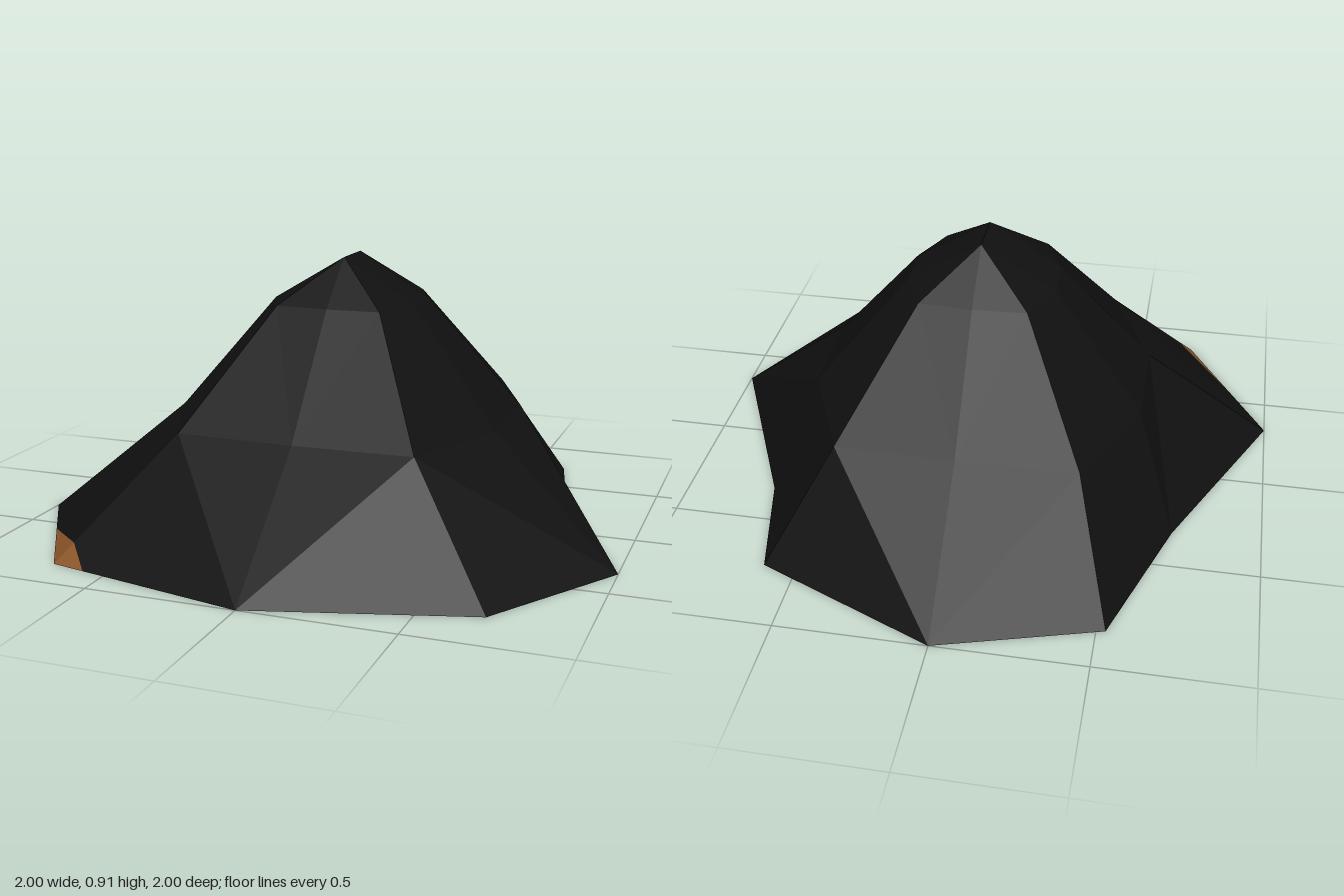
import * as THREE from 'three';

// Outline rings (x, z) from the ground up, counter-clockwise from the front centre
const base = [[0, 1], [0.7, 0.8], [1, 0.33], [0.7, -0.33], [0.61, -0.73],
  [0, -1], [-0.53, -0.84], [-0.7, -0.33], [-1, 0.33], [-0.7, 0.85]];
const ring = (y, side, cx, cz, end, sz) =>
  [[0, end], [cx, cz], [side, sz], [side, -sz], [cx, -cz],
    [0, -end], [-cx, -cz], [-side, -sz], [-side, sz], [-cx, cz]]
    .map(([x, z]) => new THREE.Vector3(x, y, z));

const N = 10;
const CORNERS = [1, 4, 6, 9];
const BARE = 9; // corner where the bare soil shows

function meshFrom(name, points, material) {
  const geometry = new THREE.BufferGeometry().setFromPoints(points);
  geometry.computeVertexNormals();
  const mesh = new THREE.Mesh(geometry, material);
  mesh.name = name;
  return mesh;
}

export function createModel() {
  const charcoal = new THREE.MeshStandardMaterial({ color: 0x101010, side: THREE.DoubleSide, flatShading: true });
  charcoal.name = 'charcoal';
  const soil = new THREE.MeshStandardMaterial({ color: 0x8b5529, side: THREE.DoubleSide, flatShading: true });
  soil.name = 'brown soil';

  const rings = [
    base.map(([x, z]) => new THREE.Vector3(x, 0, z)),
    ring(0.38, 0.56, 0.4, 0.55, 0.56, 0.18),
    ring(0.76, 0.25, 0.18, 0.24, 0.25, 0.08),
    ring(0.91, 0, 0, 0.08, 0.08, 0.08), // short summit ridge
  ];

  const dark = [], brown = [];
  const tri = (list, a, b, c) => list.push(a, b, c);

  // Bare patch: a point up the corner crease and one along each ground edge
  const corner = rings[0][BARE], above = rings[1][BARE];
  const crease = corner.clone().lerp(above, 0.16);

  // Slopes: each panel splits so both sides of a corner crease fan from it
  for (let level = 0; level < 3; level++) {
    const low = rings[level], high = rings[level + 1];
    for (let i = 0; i < N; i++) {
      const j = (i + 1) % N;
      const a = low[i], b = low[j], c = high[j], d = high[i];
      if (level === 0 && j === BARE) {
        const p = a.clone().lerp(b, 0.43);
        tri(brown, p, b, crease);
        tri(dark, a, p, crease);
        tri(dark, a, crease, c);
        tri(dark, a, c, d);
      } else if (level === 0 && i === BARE) {
        const p = a.clone().lerp(b, 0.17);
        tri(brown, a, p, crease);
        tri(dark, p, b, crease);
        tri(dark, crease, b, d);
        tri(dark, b, c, d);
      } else if (CORNERS.includes(i)) {
        tri(dark, a, b, d);
        if (c.distanceTo(d) > 0.001) tri(dark, b, c, d);
      } else {
        tri(dark, a, b, c);
        if (c.distanceTo(d) > 0.001) tri(dark, a, c, d);
      }
    }
  }
  // Close the gable between the two summit points on each side
  const group = new THREE.Group();
  group.name = 'mound';
  group.add(meshFrom('slopes', dark, charcoal), meshFrom('bareCorner', brown, soil));
  return group;
}
